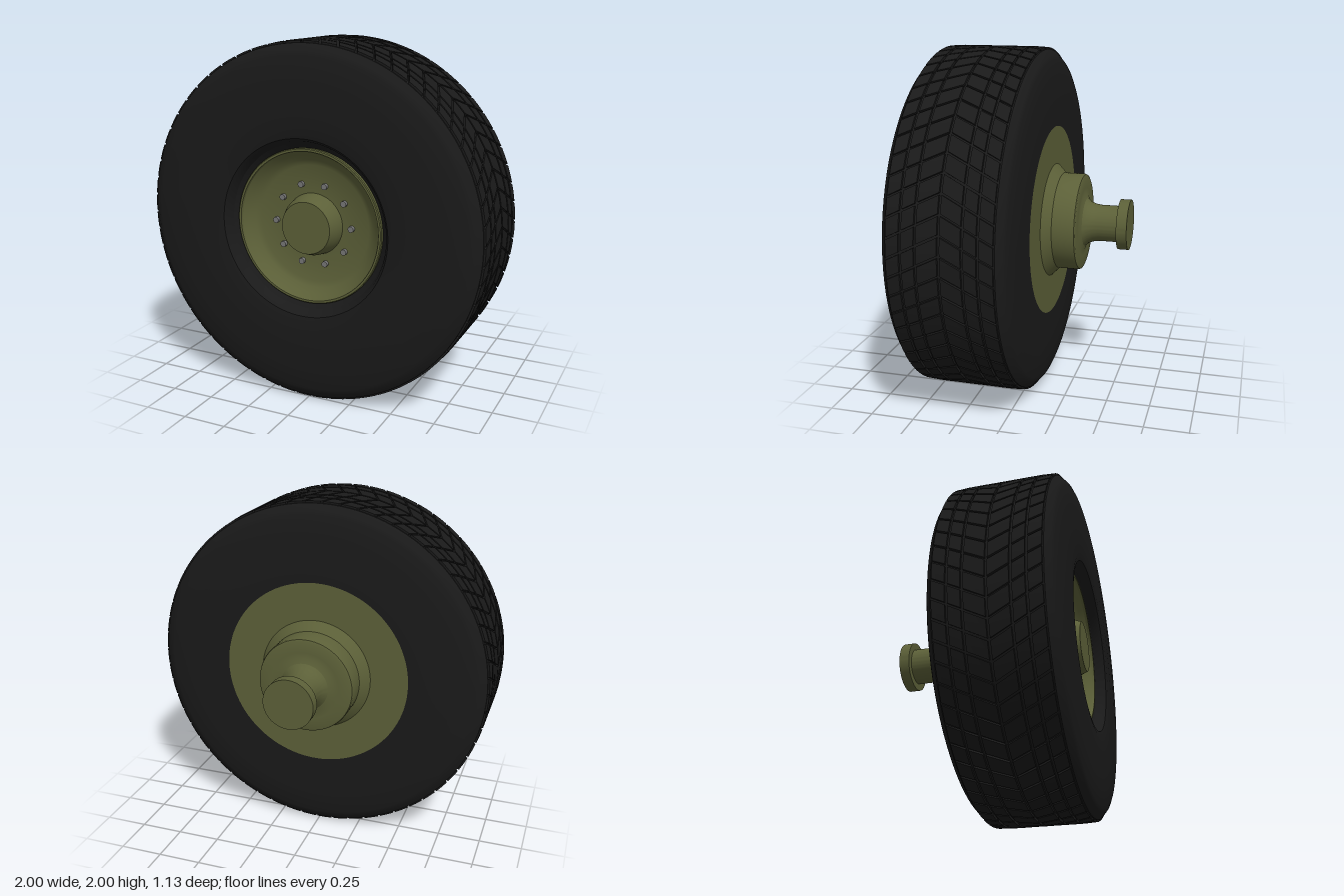
import * as THREE from 'three';
import { mergeGeometries, toCreasedNormals } from 'three/addons/utils/BufferGeometryUtils.js';

const rubber = new THREE.MeshStandardMaterial({ color: 0x1a1a1a });
const paint = new THREE.MeshStandardMaterial({ color: 0x5c6038 });
const steel = new THREE.MeshStandardMaterial({ color: 0x777777 });

// Solid of revolution about z from [radius, z] pairs, running back to front on the outside
function turned(name, profile, material, sides = 96) {
  const points = profile.map(([r, z]) => new THREE.Vector2(r, z));
  const geometry = new THREE.LatheGeometry(points, sides).rotateX(Math.PI / 2);
  const mesh = new THREE.Mesh(toCreasedNormals(geometry, 0.5), material);
  mesh.name = name;
  return mesh;
}

// One tread block: a box bent round the tyre and skewed into a chevron
function treadBlock(angle, span, z0, z1, rimDrop) {
  const middle = 0.2225, skew = 0.5;
  const block = new THREE.BoxGeometry(1, 1, 1, 2, 1, 1);
  const p = block.attributes.position;
  for (let i = 0; i < p.count; i++) {
    const z = p.getZ(i) < 0 ? z0 : z1;
    const a = angle + p.getX(i) * span + skew * Math.abs(z - middle);
    const outerEdge = Math.abs(z - middle) > 0.27;
    const r = p.getY(i) < 0 ? 0.965 : outerEdge ? 1 - rimDrop : 1;
    p.setXYZ(i, Math.sin(a) * r, Math.cos(a) * r, z);
  }
  block.computeVertexNormals();
  return block;
}

function tread() {
  const grooves = [-0.065, 0.02, 0.1, 0.2225, 0.345, 0.425, 0.51];
  const count = 60, step = (Math.PI * 2) / count, gap = 0.007;
  const blocks = [];
  for (let rib = 0; rib < grooves.length - 1; rib++) {
    for (let i = 0; i < count; i++) {
      blocks.push(treadBlock(i * step, step * 0.88, grooves[rib] + gap, grooves[rib + 1] - gap, 0.004));
    }
  }
  const mesh = new THREE.Mesh(mergeGeometries(blocks), rubber);
  mesh.name = 'tread';
  return mesh;
}

export function createModel() {
  const model = new THREE.Group();
  model.name = 'wheel';
  const wheel = new THREE.Group();
  wheel.name = 'wheelAssembly';
  wheel.position.y = 1;
  model.add(wheel);

  // Tyre carcass with sidewalls, shoulders and the recessed bead at the front
  wheel.add(turned('tyre', [
    [0.54, -0.11], [0.55, -0.12], [0.63, -0.12], [0.8, -0.114], [0.925, -0.105], [0.95, -0.095],
    [0.985, -0.065], [0.986, -0.05], [0.986, 0.495], [0.985, 0.51],
    [0.95, 0.54], [0.925, 0.55], [0.8, 0.559], [0.63, 0.565], [0.53, 0.563], [0.495, 0.556],
    [0.48, 0.54], [0.465, 0.5], [0.43, 0.47],
  ], rubber));
  wheel.add(tread());

  // Dished front rim
  wheel.add(turned('rim', [
    [0.43, 0.44], [0.435, 0.495], [0.43, 0.5], [0.418, 0.5], [0.415, 0.485],
    [0.39, 0.46], [0.36, 0.435], [0.33, 0.42], [0.17, 0.42],
  ], paint));

  // Tapered hub cap in the middle of the rim
  wheel.add(turned('hubCap', [[0.175, 0.415], [0.165, 0.47], [0.145, 0.52], [0, 0.52]], paint, 64));

  // Back plate, stepped drum, flared axle and end flange
  wheel.add(turned('axleHub', [
    [0, -0.57], [0.145, -0.57], [0.145, -0.51], [0.105, -0.51], [0.105, -0.4],
    [0.11, -0.365], [0.121, -0.335], [0.14, -0.314], [0.17, -0.304], [0.2, -0.302],
    [0.265, -0.302], [0.276, -0.297], [0.28, -0.285], [0.28, -0.17], [0.33, -0.12],
  ], paint));
  wheel.add(turned('backPlate', [[0.32, -0.12], [0.55, -0.12]], paint));

  // Ring of wheel bolts
  const bolts = new THREE.Group();
  bolts.name = 'wheelBolts';
  const boltShape = new THREE.CylinderGeometry(0.017, 0.017, 0.04, 12).rotateX(Math.PI / 2);
  for (let i = 0; i < 10; i++) {
    const a = (i / 10) * Math.PI * 2;
    const bolt = new THREE.Mesh(boltShape, steel);
    bolt.name = 'wheelBolt';
    bolt.position.set(Math.cos(a) * 0.23, Math.sin(a) * 0.23, 0.42);
    bolts.add(bolt);
  }
  wheel.add(bolts);
  return model;
}
